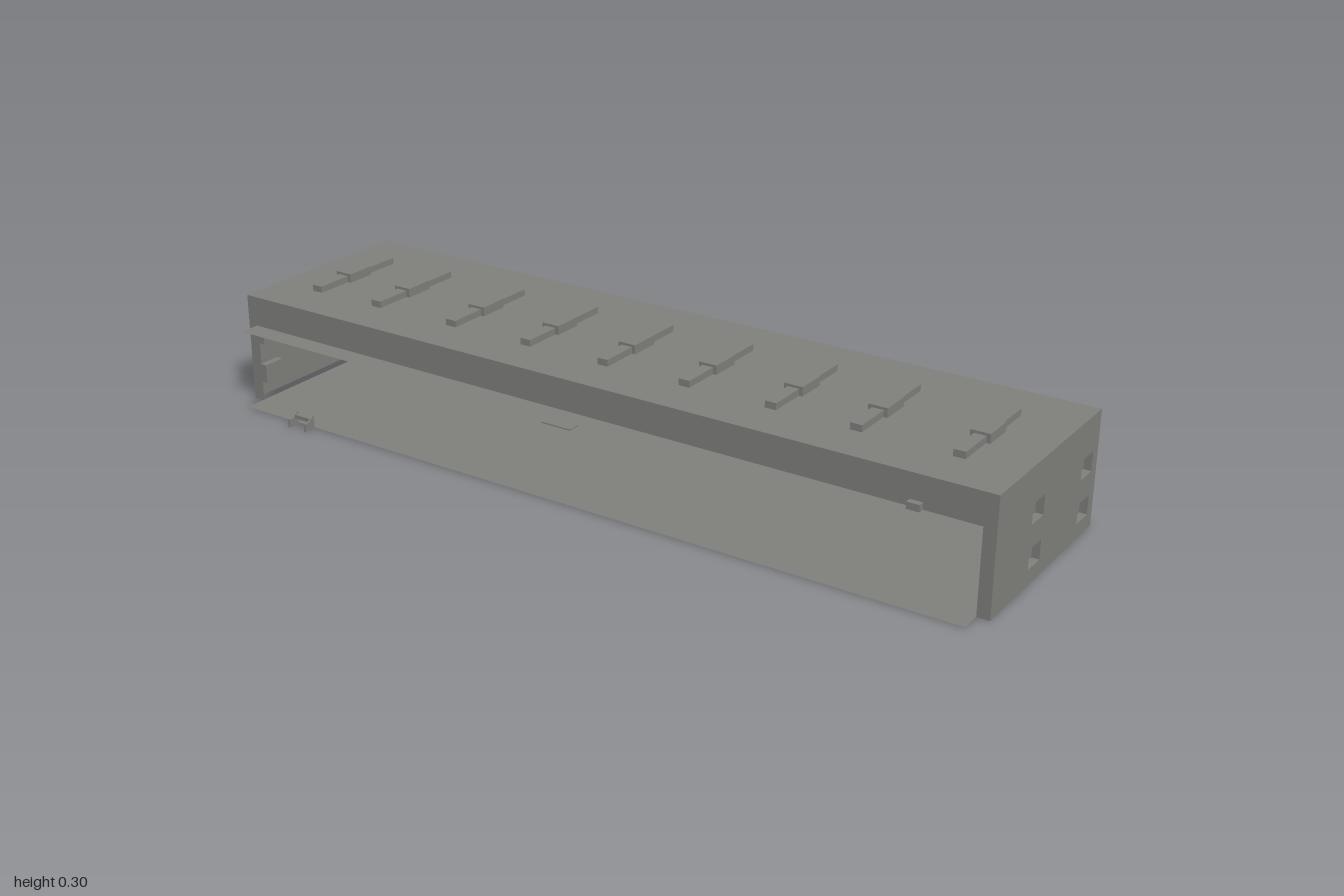
import * as THREE from 'three';

export function createModel() {
  const model = new THREE.Group();
  const grey = new THREE.MeshStandardMaterial({ color: 0x80807d, side: THREE.DoubleSide });
  grey.name = 'concrete grey';

  const W = 1, H = 0.275, BACK = -0.298, FRONT = 0.213, MID = (BACK + FRONT) / 2;
  const DEPTH = FRONT - BACK;

  function add(name, geometry, x = 0, y = 0, z = 0, parent = model) {
    const mesh = new THREE.Mesh(geometry, grey);
    mesh.name = name;
    mesh.position.set(x, y, z);
    parent.add(mesh);
    return mesh;
  }
  const box = (w, h, d) => new THREE.BoxGeometry(w, h, d);
  const outline = (pts) => new THREE.Shape(pts.map(([x, y]) => new THREE.Vector2(x, y)));
  const flat = (shape) => new THREE.ShapeGeometry(shape);

  // Thin hollow shell: roof, front frame with wide opening, back wall with notch
  add('roof', new THREE.PlaneGeometry(2 * W, DEPTH).rotateX(-Math.PI / 2), 0, H, MID);
  add('frontFrame', flat(outline([
    [-W, 0], [-0.97, 0], [-0.97, 0.2], [0.97, 0.2], [0.97, 0], [W, 0], [W, H], [-W, H],
  ])), 0, 0, FRONT);
  add('backWall', flat(outline([
    [-W, 0], [-0.03, 0], [-0.03, 0.1], [0.027, 0.1], [0.027, 0], [W, 0], [W, H], [-W, H],
  ])).rotateY(Math.PI), -0.003, 0, BACK).scale.x = 1;

  // End walls with recessed square pockets; the second end is the first turned half round
  const POCKET = { w: 0.058, h: 0.047, d: 0.018 };
  function endWall(name) {
    const end = new THREE.Group();
    end.name = name;
    const wall = outline([[-DEPTH / 2, 0], [DEPTH / 2, 0], [DEPTH / 2, H], [-DEPTH / 2, H]]);
    const pocketGeometry = box(POCKET.d, POCKET.h, POCKET.w);
    // Drop the outer face so the pocket is open
    pocketGeometry.setIndex(Array.from(pocketGeometry.index.array).slice(6));
    for (const z of [0.053, -0.2]) {
      for (const y of [0.06, 0.163]) {
        const a = -z - POCKET.w / 2, b = -z + POCKET.w / 2;
        const c = y - POCKET.h / 2, d = y + POCKET.h / 2;
        wall.holes.push(outline([[a, c], [a, d], [b, d], [b, c]]));
        add('pocket', pocketGeometry, W - POCKET.d / 2, y, z, end);
      }
    }
    add('endPanel', flat(wall).rotateY(Math.PI / 2), W, 0, 0, end);
    end.position.z = MID;
    model.add(end);
    return end;
  }
  endWall('leftEnd');
  endWall('rightEnd').rotation.y = Math.PI;

  // Floor plate and matching shelf at the top of the opening
  const plate = new THREE.PlaneGeometry(1.945, 0.532).rotateX(-Math.PI / 2);
  add('floor', plate, -0.002, 0.001, -0.001);
  add('shelf', plate, -0.002, 0.2, -0.001);
  add('shelfTab', box(0.077, 0.003, 0.03), -0.002, 0.2, 0.278);
  add('shelfStop', box(0.03, 0.016, 0.015), 0.825, 0.208, 0.2205);

  // Row of roof vents: a long bar with a wider block in its middle
  for (const x of [-0.873, -0.682, -0.45, -0.23, -0.014, 0.203, 0.421, 0.625, 0.859]) {
    const vent = new THREE.Group();
    vent.name = 'roofVent';
    vent.position.set(x, H, -0.035);
    add('ventBar', box(0.028, 0.016, 0.268), 0, 0.008, 0, vent);
    add('ventBlock', box(0.046, 0.022, 0.076), 0, 0.011, 0, vent);
    model.add(vent);
  }

  // Small bracket on the front edge: two wedge cheeks joined by a bar
  const bracket = new THREE.Group();
  bracket.name = 'bracket';
  const cheek = new THREE.ExtrudeGeometry(
    outline([[-0.298, 0], [-0.267, 0], [-0.267, 0.035], [-0.285, 0.02], [-0.298, 0.02]]),
    { depth: 0.005, bevelEnabled: false },
  ).rotateY(Math.PI / 2);
  for (const x of [-0.806, -0.755]) add('bracketCheek', cheek, x, 0, 0, bracket);
  add('bracketBar', box(0.05, 0.01, 0.01), -0.778, 0.022, 0.274, bracket);
  model.add(bracket);

  return model;
}
